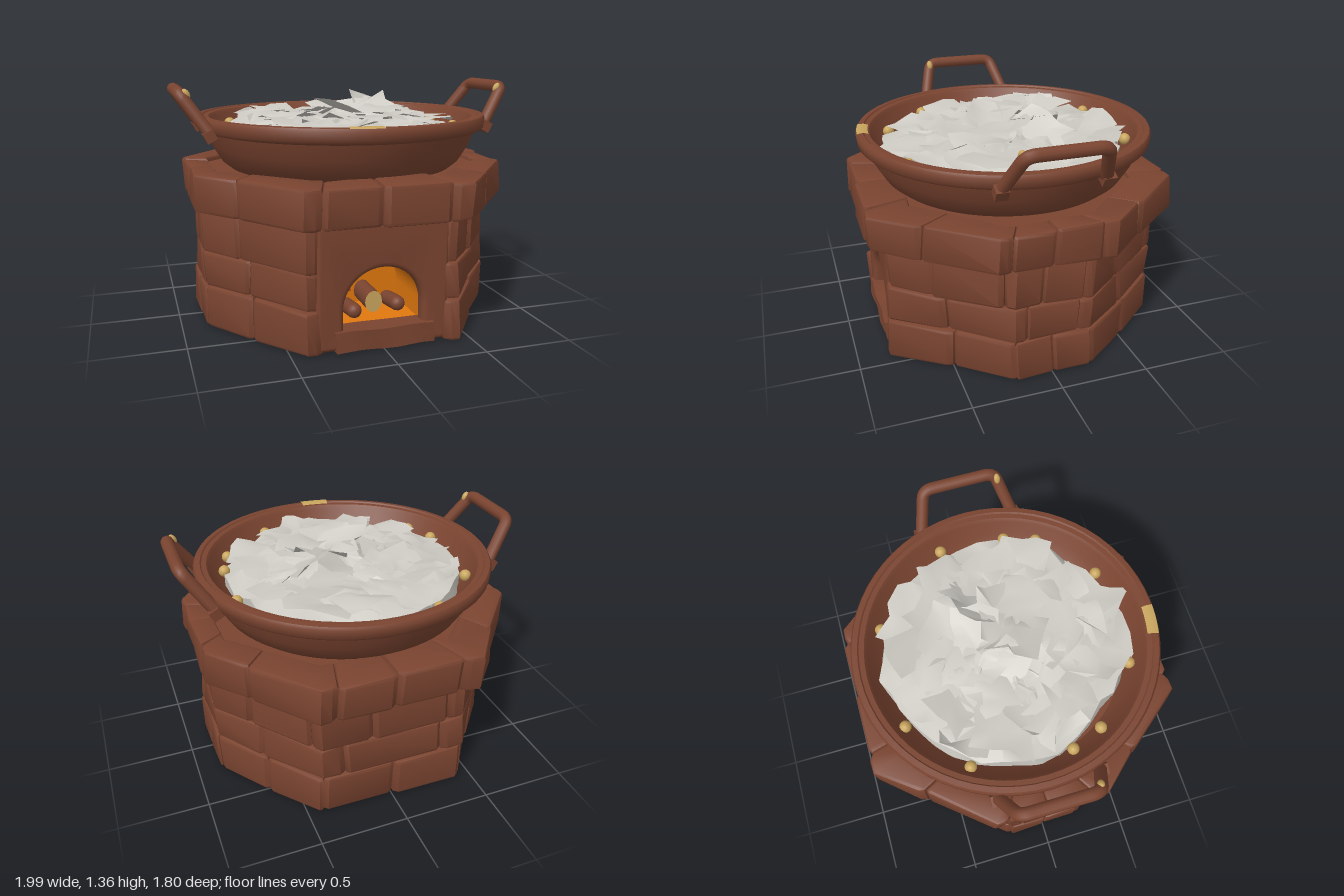
import * as THREE from 'three';
import { toCreasedNormals, mergeGeometries } from 'three/addons/utils/BufferGeometryUtils.js';

const mat = (name, color, side = THREE.FrontSide) => {
  const m = new THREE.MeshStandardMaterial({ color, side });
  m.name = name;
  return m;
};

export function createModel() {
  const model = new THREE.Group();
  const clay = mat('clay brown', 0x7a4430);
  const paper = mat('pale grey', 0xcdcbc3, THREE.DoubleSide);
  const gold = mat('tan', 0xc8a55e);
  const fire = mat('fire orange', 0xe0780f, THREE.DoubleSide);
  const ember = mat('ember red', 0x9c3f14);

  let seed = 7;
  const rand = (a = -1, b = 1) => {
    seed = (seed * 16807) % 2147483647;
    return a + (b - a) * (seed / 2147483647);
  };
  const add = (name, geo, material, parent = model) => {
    const m = new THREE.Mesh(geo, material);
    m.name = name;
    parent.add(m);
    return m;
  };
  const group = (name) => {
    const g = new THREE.Group();
    g.name = name;
    model.add(g);
    return g;
  };
  // gentle unevenness, identical for coincident vertices
  const wobble = (geo, k) => {
    const p = geo.attributes.position;
    for (let i = 0; i < p.count; i++) {
      const x = p.getX(i), y = p.getY(i), z = p.getZ(i);
      p.setXYZ(i, x + k * Math.sin(23 * y + 9 * z), y + k * 0.6 * Math.sin(17 * x + 13 * z), z + k * Math.sin(19 * x + 21 * y));
    }
    return toCreasedNormals(geo, 0.6);
  };

  // eight-sided plan, offset outwards by d; s counts sides from the front left corner
  const corners = (d, side) => {
    const a = 0.42 + 0.35 * d, b = 0.8 + d, X = 0.865 + 0.6 * d, w = side + 0.41 * d;
    return [[-a, b], [a, b], [X, w], [X, -w], [a, -b], [-a, -b], [-X, -w], [-X, w]];
  };
  const at = (s, d, side = 0.22) => {
    const c = corners(d, side), k = Math.floor(s), f = s - k, p = c[k % 8], q = c[(k + 1) % 8];
    return new THREE.Vector2(p[0] + (q[0] - p[0]) * f, -(p[1] + (q[1] - p[1]) * f));
  };
  const upright = (shape, y, h, bevel) => new THREE.ExtrudeGeometry(shape, {
    depth: h - 2 * bevel, bevelEnabled: bevel > 0, bevelThickness: bevel, bevelSize: bevel,
    bevelOffset: -bevel, bevelSegments: 2,
  }).rotateX(-Math.PI / 2).translate(0, y + bevel, 0);

  const brick = (s0, s1, y, h, d, side) => {
    const e = 0.035, turns = [];
    for (let k = Math.ceil(s0 + e + 0.01); k < s1 - e - 0.01; k++) turns.push(k);
    const outer = [s0 + e, ...turns, s1 - e].map((s) => at(s, d, side));
    const inner = [s0, ...turns, s1].reverse().map((s) => at(s, -0.15, side));
    const pts = [at(s0, d - 0.02, side), ...outer, at(s1, d - 0.02, side), ...inner];
    return wobble(upright(new THREE.Shape(pts), y, h, 0.018), 0.007);
  };

  // brick courses, the lower three leaving room for the firebox
  const courses = [
    { y: 0, h: 0.235, d: 0.005, cuts: [0, 0.5] },
    { y: 0.235, h: 0.2, d: -0.005, cuts: [0.15, 0.85, 1.45], step: 2 },
    { y: 0.435, h: 0.25, d: -0.005, cuts: [0.35, 0.9] },
    { y: 0.685, h: 0.21, d: 0.082, cuts: [0.1, 0.46, 0.88, 1.4], step: 2, full: true, side: 0.29 },
  ];
  const wall = group('brickWall');
  courses.forEach(({ y, h, d, cuts, step = 1, full, side }, n) => {
    const all = [];
    for (let k = 0; k < 10; k += step) cuts.forEach((c) => all.push(k + c));
    const joints = full
      ? all.filter((s) => s < 8.11)
      : [0.91, ...all.filter((s) => s > 1.15 && s < 7.85), 8.09];
    for (let i = 0; i + 1 < joints.length; i++) {
      add(`brickCourse${n + 1}`, brick(joints[i], joints[i + 1], y, h + rand(-0.006, 0.006), d + rand(-0.012, 0.014), side), clay, wall);
    }
  });
  const slab = (d) => new THREE.Shape([...Array(8).keys()].map((k) => at(k, d)));
  add('baseSlab', upright(slab(-0.08), 0.004, 0.1, 0), clay);
  add('topSlab', upright(slab(-0.06), 0.78, 0.09, 0), clay);

  // firebox front, chamber and sill
  const arch = (Type, r, floor) => {
    const p = new Type();
    p.moveTo(-r, floor).lineTo(r, floor).lineTo(r, 0.22);
    p.absarc(0, 0.22, r, 0, Math.PI, false);
    p.lineTo(-r, floor);
    return p;
  };
  const front = new THREE.Shape([[-0.37, 0.004], [0.37, 0.004], [0.37, 0.69], [-0.37, 0.69]].map((p) => new THREE.Vector2(...p)));
  front.holes.push(arch(THREE.Path, 0.22, 0.1));
  add('fireboxFront', toCreasedNormals(new THREE.ExtrudeGeometry(front, {
    depth: 0.03, bevelThickness: 0.03, bevelSize: 0.03, bevelOffset: -0.03, bevelSegments: 4, curveSegments: 20,
  }).translate(0, 0, 0.735), 0.6), clay);
  const tunnel = arch(THREE.Shape, 0.3, 0.04);
  tunnel.holes.push(arch(THREE.Path, 0.225, 0.115));
  add('fireChamber', toCreasedNormals(new THREE.ExtrudeGeometry(tunnel, { depth: 0.35, bevelEnabled: false, curveSegments: 20 })
    .translate(0, 0, 0.385), 0.6), fire);
  add('fireGlow', new THREE.ShapeGeometry(arch(THREE.Shape, 0.26, 0.08), 20).translate(0, 0, 0.395), fire);
  add('sill', wobble(new THREE.BoxGeometry(0.55, 0.112, 0.12, 8, 2, 2).translate(0.005, 0.062, 0.755), 0.005), clay);

  // logs with rounded ends, one with a pale cut end, and an ember
  const logs = group('logs');
  [[-0.12, 0.155], [0.13, 0.17]].forEach(([x, y]) => {
    const log = add('log', new THREE.CapsuleGeometry(0.042, 0.16, 5, 12), clay, logs);
    log.position.set(x, y, 0.57);
    log.rotation.x = Math.PI / 2 - 0.15;
  });
  const cut = add('cutLog', new THREE.CylinderGeometry(0.05, 0.05, 0.2, 12), [clay, gold, gold], logs);
  cut.position.set(0.01, 0.185, 0.5);
  cut.rotation.x = Math.PI / 2;
  cut.scale.z = 1.25;
  const coal = add('ember', new THREE.BoxGeometry(0.12, 0.1, 0.12), ember, logs);
  coal.position.set(-0.17, 0.28, 0.48);
  coal.rotation.z = 0.15;

  // wide pan with a banded rim
  const profile = [[0, 0.86], [0.66, 0.87], [0.71, 0.91], [0.765, 1.0], [0.795, 1.085], [0.835, 1.095], [0.85, 1.11],
    [0.855, 1.16], [0.845, 1.175], [0.815, 1.178], [0.808, 1.17], [0.78, 1.168], [0.765, 1.15], [0.735, 1.08], [0.66, 1.0], [0, 0.97]];
  add('pan', toCreasedNormals(new THREE.LatheGeometry(profile.map((p) => new THREE.Vector2(...p)), 64), 0.7), clay);
  add('rimPatch', new THREE.LatheGeometry([[0.849, 1.174], [0.846, 1.18], [0.812, 1.183], [0.785, 1.175]]
    .map((p) => new THREE.Vector2(...p)), 8, -0.24, 0.21), gold);

  // studs around the inner wall
  const studs = group('studs');
  [[-0.3, -0.65], [0.29, -0.65], [-0.61, -0.37], [0.68, -0.2], [-0.67, 0.18], [0.66, 0.18], [-0.6, 0.36], [0.6, 0.36],
    [-0.29, 0.63], [0.29, 0.63]].forEach(([x, z]) => {
    add('stud', new THREE.SphereGeometry(0.034, 12, 8), gold, studs).position.set(x, 1.09, z);
  });

  // two bail handles leaning outwards
  const V = (x, y, z) => new THREE.Vector3(x, y, z);
  [1, -1].forEach((side) => {
    const g = group(side > 0 ? 'leftHandle' : 'rightHandle');
    const path = new THREE.CurvePath();
    const foot = V(0.8 * side, 1.09, 0.285), elbow = V(0.962 * side, 1.322, 0.21);
    const flip = (v) => V(v.x, v.y, -v.z);
    const a = elbow.clone().lerp(foot, 0.16), b = V(elbow.x, elbow.y, 0.155);
    path.add(new THREE.LineCurve3(foot, a));
    path.add(new THREE.QuadraticBezierCurve3(a, elbow, b));
    path.add(new THREE.LineCurve3(b, flip(b)));
    path.add(new THREE.QuadraticBezierCurve3(flip(b), flip(elbow), flip(a)));
    path.add(new THREE.LineCurve3(flip(a), flip(foot)));
    add('handleBar', new THREE.TubeGeometry(path, 60, 0.035, 10), clay, g);
    [foot, flip(foot)].forEach((f) => {
      const pad = add('handleFoot', new THREE.BoxGeometry(0.06, 0.06, 0.07), clay, g);
      pad.position.set(f.x + 0.015 * side, f.y + 0.005, f.z);
      pad.rotation.z = -0.5 * side;
    });
    const patch = add('handlePatch', new THREE.SphereGeometry(0.019, 10, 8), gold, g);
    patch.position.set(0.923 * side, 1.317, 0.219);
    patch.rotation.z = -0.55 * side;
    patch.scale.y = 1.6;
  });

  // crumpled heap: uneven mound with broad creased sheets on top
  const edge = [0.66, 0.68, 0.68, 0.63, 0.7, 0.71, 0.62, 0.63, 0.69, 0.66, 0.69, 0.66, 0.73, 0.66, 0.69, 0.66];
  const edgeAt = (t) => {
    const u = (((t / (2 * Math.PI)) % 1) + 1) % 1 * 16, k = Math.floor(u);
    return edge[k] + (edge[(k + 1) % 16] - edge[k]) * (u - k);
  };
  const rings = 9, segs = 36, pos = [], idx = [];
  for (let i = 0; i <= rings; i++) {
    for (let j = 0; j < segs; j++) {
      const f = Math.min(i / (rings - 1), 1), last = i === rings;
      const t = ((j + (i > 0 && !last ? rand(-0.3, 0.3) : 0)) / segs) * 2 * Math.PI;
      const r = edgeAt(t) * f * (i > 0 ? 1 + rand(-0.03, 0.03) : 1);
      const y = last ? 0.99 : 1.165 - 0.075 * f * f + (i > 0 ? rand(-0.025, 0.025) : 0);
      pos.push(r * Math.cos(t), y, r * Math.sin(t));
      if (i < rings) {
        const a = i * segs + j, b = i * segs + ((j + 1) % segs);
        idx.push(a, b, a + segs, b, b + segs, a + segs);
      }
    }
  }
  const mound = new THREE.BufferGeometry();
  mound.setAttribute('position', new THREE.Float32BufferAttribute(pos, 3));
  mound.setIndex(idx);
  add('heapMound', toCreasedNormals(mound, 0.7), paper);

  const sheets = [], count = 34;
  for (let i = 0; i < count; i++) {
    const centre = i < 6;
    const geo = new THREE.PlaneGeometry(rand(0.22, 0.34), rand(0.2, 0.3), 3, 3);
    const p = geo.attributes.position;
    for (let v = 0; v < p.count; v++) p.setXYZ(v, p.getX(v) + rand(-0.03, 0.03), p.getY(v) + rand(-0.03, 0.03), rand(-0.02, 0.02));
    const tilt = centre ? 0.45 : 0.17, t = i * 2.4, f = Math.sqrt((i + 0.5) / count) * 0.83, r = edgeAt(t) * f;
    geo.rotateX(-Math.PI / 2).rotateY(rand(0, 6.28)).rotateX(rand(-tilt, tilt)).rotateZ(rand(-tilt, tilt));
    geo.translate(r * Math.cos(t) + (centre ? 0.08 : 0), (centre ? 1.205 : 1.185) - 0.07 * f * f, r * Math.sin(t));
    sheets.push(toCreasedNormals(geo, 0.8));
  }
  add('heapSheets', mergeGeometries(sheets), paper);
  return model;
}
